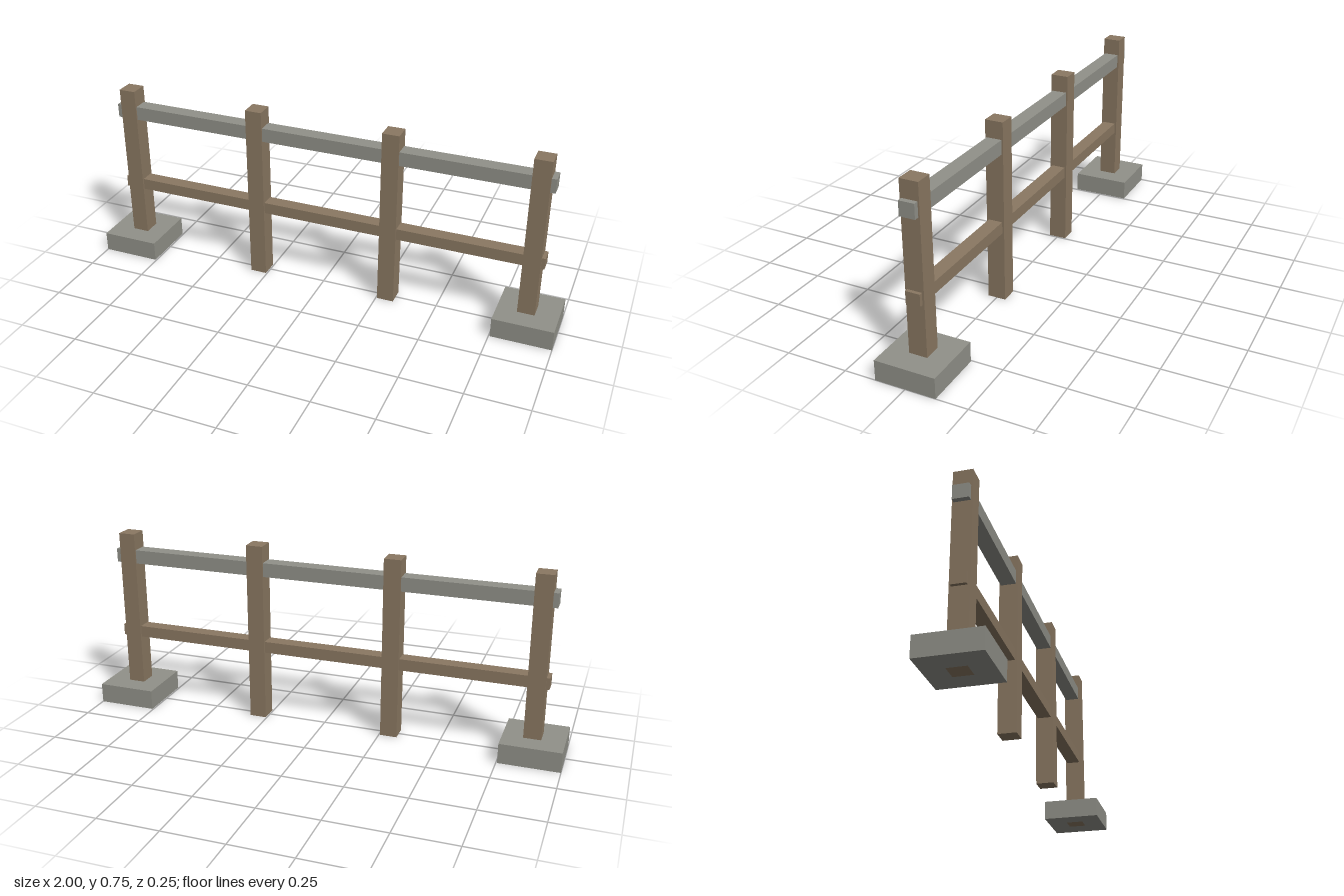
import * as THREE from 'three';

export function createModel() {
  const model = new THREE.Group();
  model.name = 'fence';

  const wood = new THREE.MeshStandardMaterial({ color: 0x8a7862 });
  wood.name = 'brown wood';
  const grey = new THREE.MeshStandardMaterial({ color: 0x919189 });
  grey.name = 'grey';

  const add = (name, geometry, material, x, y, z = 0) => {
    const mesh = new THREE.Mesh(geometry, material);
    mesh.name = name;
    mesh.position.set(x, y, z);
    model.add(mesh);
    return mesh;
  };

  const postWidth = 0.07, postDepth = 0.074, postHeight = 0.755;
  const endX = 0.872, innerX = 0.29;

  // Four upright posts
  const post = new THREE.BoxGeometry(postWidth, postHeight, postDepth);
  for (const side of [-1, 1]) {
    const label = side > 0 ? 'left' : 'right';
    add(label + 'EndPost', post, wood, side * endX, postHeight / 2);
    add(label + 'InnerPost', post, wood, side * innerX, postHeight / 2);
  }

  // Two rails running through the posts
  add('topRail', new THREE.BoxGeometry(1.854, 0.058, 0.062), grey, 0, 0.656);
  add('lowerRail', new THREE.BoxGeometry(1.842, 0.048, 0.058), wood, 0, 0.319);

  // Footings under the end posts, with a socket so the post foot shows below
  const rectangle = (path, cx, w, d) => path
    .moveTo(cx - w / 2, -d / 2).lineTo(cx + w / 2, -d / 2)
    .lineTo(cx + w / 2, d / 2).lineTo(cx - w / 2, d / 2).closePath();
  for (const side of [-1, 1]) {
    const outline = rectangle(new THREE.Shape(), side * 0.8775, 0.245, 0.245);
    outline.holes.push(rectangle(new THREE.Path(), side * endX, postWidth, postDepth));
    const footing = new THREE.ExtrudeGeometry(outline, { depth: 0.083, bevelEnabled: false });
    footing.rotateX(-Math.PI / 2);
    add(side > 0 ? 'leftFooting' : 'rightFooting', footing, grey, 0, 0);
  }

  return model;
}
